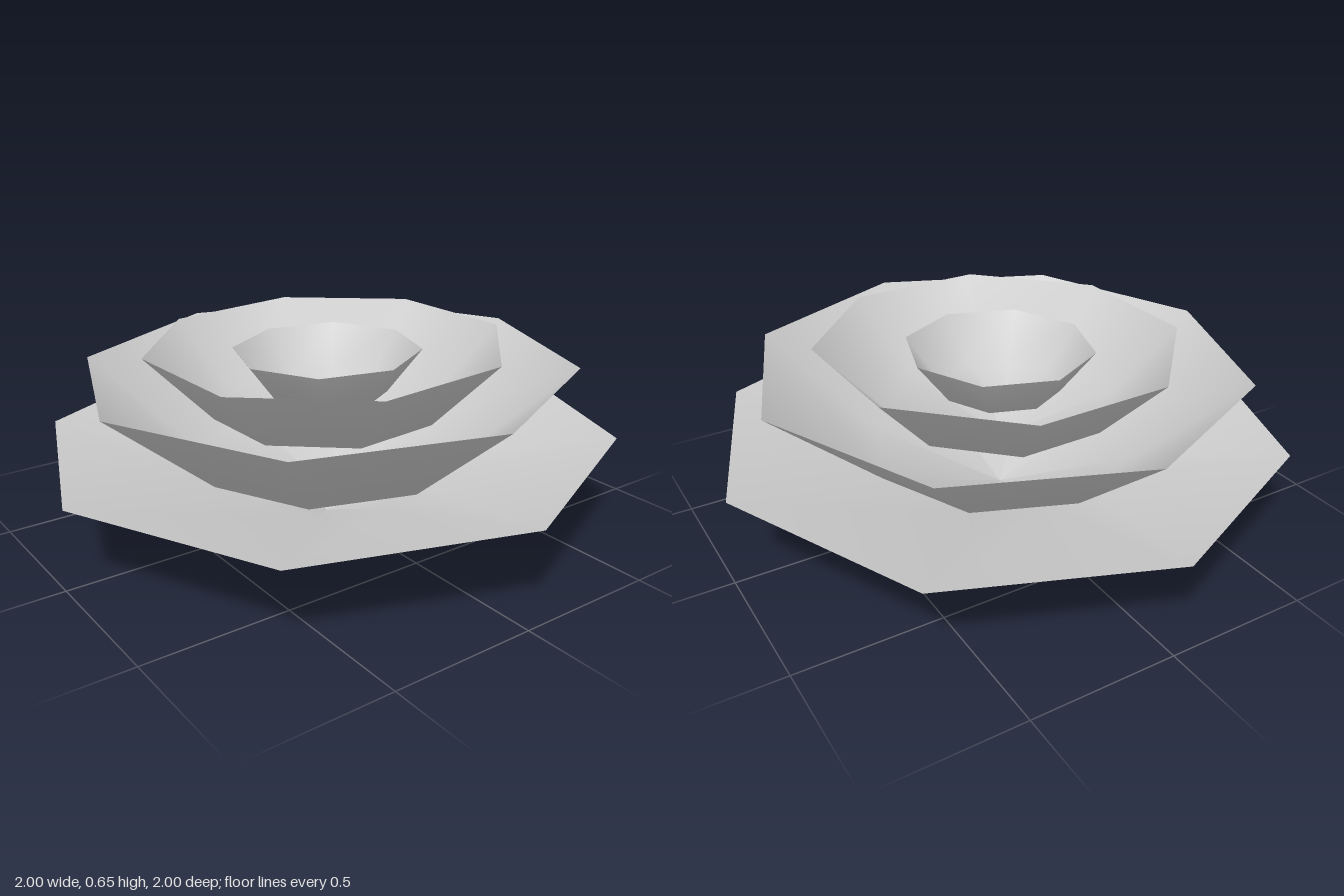
import * as THREE from 'three';

// Nested, slightly tilted eight-sided petal bowls forming an open rosette
export function createModel() {
  const group = new THREE.Group();
  group.name = 'rosette';
  const petalGrey = new THREE.MeshStandardMaterial({ color: 0xcccccc, side: THREE.DoubleSide });
  petalGrey.name = 'petalGrey';

  // Each bowl: name, [radius, height] from tip to rim, turn in degrees
  const bowls = [
    ['outerPetals', [[0, 0], [0.3, 0.115], [1, 0.312]], 2.2],
    ['middlePetals', [[0, 0.07], [0.47, 0.23], [0.857, 0.56]], 2.2],
    ['innerPetals', [[0, 0.26], [0.4, 0.4], [0.63, 0.638]], 24.8],
    ['centreCup', [[0, 0.38], [0.21, 0.458], [0.328, 0.612]], 4.8],
  ];

  for (const [name, profile, turn] of bowls) {
    const points = profile.map(([r, y]) => new THREE.Vector2(r, y));
    const geometry = new THREE.LatheGeometry(points, 8);
    geometry.rotateY(THREE.MathUtils.degToRad(turn));
    // Lean the rim a little towards the right-hand side
    const p = geometry.attributes.position;
    for (let i = 0; i < p.count; i++) p.setY(i, p.getY(i) + 0.02 * p.getX(i));
    const mesh = new THREE.Mesh(geometry, petalGrey);
    mesh.name = name;
    group.add(mesh);
  }
  return group;
}
